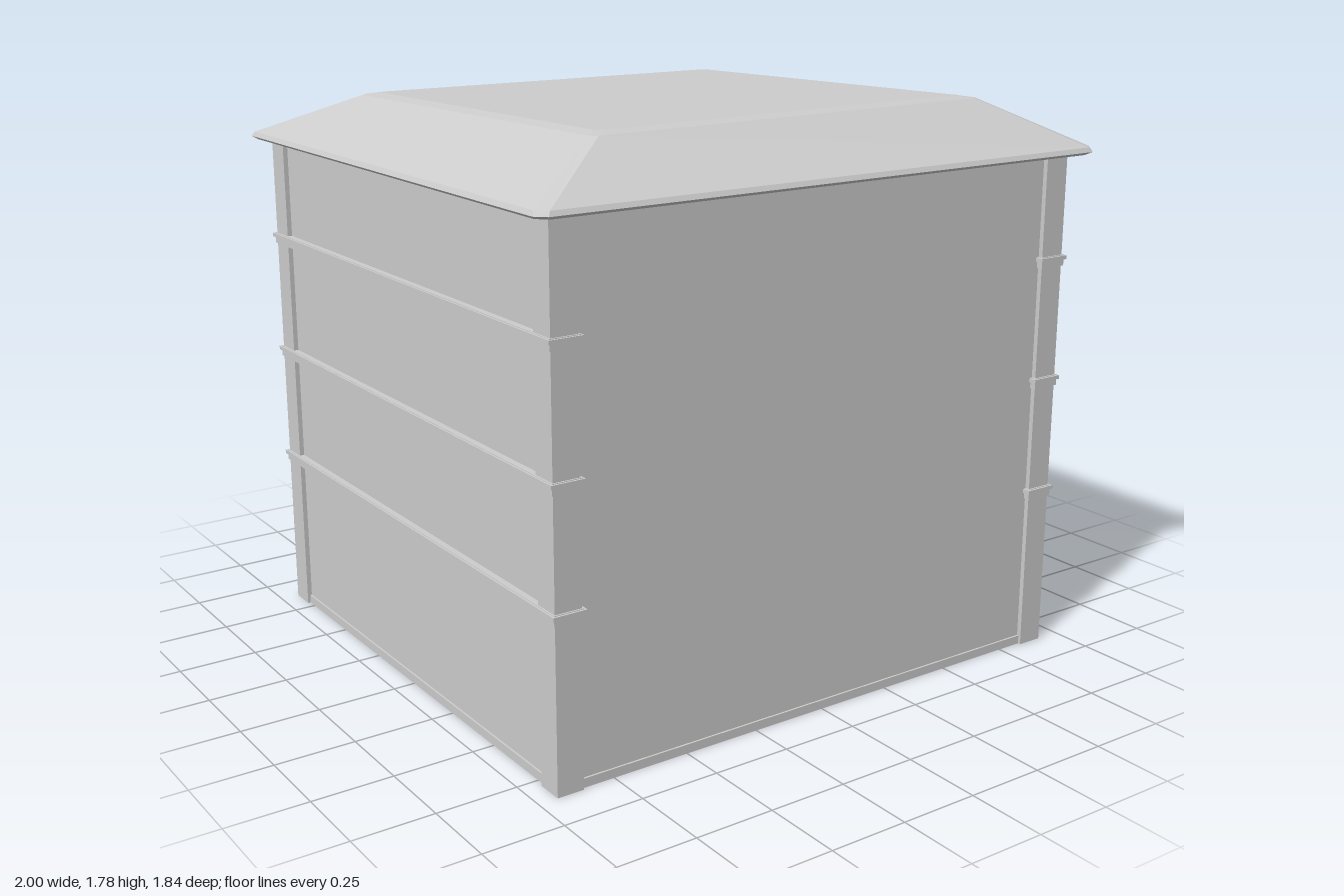
import * as THREE from 'three';

const stone = new THREE.MeshStandardMaterial({ color: 0xcccccc, side: THREE.DoubleSide });
stone.name = 'pale grey stone';

const HX = 0.93, HZ = 0.868;      // half size of the building
const WALL = 0.02;                // wall thickness
const EAVE = 1.61;                // wall height
const BANDS = [0.52, 0.888, 1.275];
const V = ([x, y]) => new THREE.Vector2(x, y);

function add(parent, name, geometry, x = 0, y = 0, z = 0) {
  const mesh = new THREE.Mesh(geometry, stone);
  mesh.name = name;
  mesh.position.set(x, y, z);
  parent.add(mesh);
  return mesh;
}

function box(parent, name, w, h, d, x, y, z) {
  return add(parent, name, new THREE.BoxGeometry(w, h, d), x, y, z);
}

// Flat plate from an outline, with its outer face at local z = front
function plate(parent, name, outline, holes, depth, front) {
  const shape = new THREE.Shape(outline.map(V));
  for (const h of holes) shape.holes.push(new THREE.Path(h.map(V)));
  const g = new THREE.ExtrudeGeometry(shape, { depth, bevelEnabled: false });
  return add(parent, name, g, 0, 0, front - depth);
}

// Recess: side strips along the outline plus a back panel
function niche(parent, name, outline, depth, closed) {
  const pos = [];
  const n = outline.length;
  for (let i = 0; i < (closed ? n : n - 1); i++) {
    const [ax, ay] = outline[i], [bx, by] = outline[(i + 1) % n];
    pos.push(ax, ay, 0, bx, by, 0, bx, by, -depth);
    pos.push(ax, ay, 0, bx, by, -depth, ax, ay, -depth);
  }
  const g = new THREE.BufferGeometry();
  g.setAttribute('position', new THREE.Float32BufferAttribute(pos, 3));
  g.computeVertexNormals();
  const group = new THREE.Group();
  group.name = name;
  add(group, name + 'Sides', g);
  add(group, name + 'Back', new THREE.ShapeGeometry(new THREE.Shape(outline.map(V))), 0, 0, -depth);
  parent.add(group);
}

const rect = (u, w, y0, y1) => [[u - w / 2, y0], [u - w / 2, y1], [u + w / 2, y1], [u + w / 2, y0]];

function side(parent, name, angle, x, z) {
  const g = new THREE.Group();
  g.name = name;
  g.rotation.y = angle;
  g.position.set(x, 0, z);
  parent.add(g);
  return g;
}

// Window wall: u runs towards the back
function windowWall(parent) {
  const g = side(parent, 'windowWall', Math.PI / 2, HX - 0.015, 0);
  const windows = [[0.625, 0.54, 0.795]];
  for (let i = -2; i <= 2; i++) {
    windows.push([i * 0.3125, 0.908, 1.162], [i * 0.3125, 1.297, 1.552]);
  }
  const holes = windows.map(([u, y0, y1]) => rect(u, 0.14, y0, y1 - 0.02));

  // Arched door
  const r = 0.068, du = 0.66, arch = [];
  arch.push([du - r, 0]);
  for (let i = 0; i <= 12; i++) {
    const a = Math.PI * (1 - i / 12);
    arch.push([du + r * Math.cos(a), 0.228 + r * Math.sin(a)]);
  }
  arch.push([du + r, 0]);
  const e = HZ - 0.03;
  plate(g, 'windowWallPanel', [[-e, 0], ...arch, [e, 0], [e, EAVE], [-e, EAVE]], holes, WALL, 0);
  niche(g, 'doorRecess', arch, 0.08, false);

  windows.forEach(([u, y0, y1], i) => {
    niche(g, 'windowRecess', holes[i], 0.1, true);
    const a = 0.095, b = 0.07, t = y1 - 0.02;
    plate(g, 'windowFrame', [[u - a, y0], [u - b, y0], [u - b, t], [u + b, t],
      [u + b, y0], [u + a, y0], [u + a, y1], [u - a, y1]], [], 0.03, 0.014);
  });

  // Plinth on both sides of the door
  box(g, 'plinth', du - r + e, 0.028, 0.032, (du - r - e) / 2, 0.014, -0.01);
  box(g, 'plinth', e - du - r, 0.028, 0.032, (e + du + r) / 2, 0.014, -0.01);
}

// Low back wall with two deep bays
function backWall(parent) {
  const g = side(parent, 'backWall', Math.PI, 0, -HZ + 0.015);
  const e = HX - 0.03, top = 0.5;
  const bays = [rect(-0.37, 0.42, 0, 0.39), rect(0.33, 0.4, 0, 0.39)];
  plate(g, 'backWallPanel', [[-e, 0], ...bays[0], ...bays[1], [e, 0], [e, top], [-e, top]], [], WALL, 0);
  bays.forEach(b => niche(g, 'bay', b, 0.185, false));
  for (const [a, b] of [[-e, -0.58], [-0.16, 0.13], [0.53, e]]) {
    box(g, 'plinth', b - a, 0.028, 0.032, (a + b) / 2, 0.014, -0.01);
  }
}

// Roof shell built from chamfered rectangular rings
function roof(parent) {
  const topY = (x, z) => 1.756 + Math.max(0, z) * (x > 0 ? 0.042 : 0.028);
  const rings = [
    [0.88, 0.85, 0.03, () => EAVE],
    [0.985, 0.905, 0.03, () => 1.604],
    [1.0, 0.922, 0.03, () => 1.614],
    [0.992, 0.914, 0.03, () => 1.628],
    [0.7, 0.7, 0.02, (x, z) => topY(x, z) - 0.009],
    [0.655, 0.655, 0.02, topY],
  ].map(([hx, hz, c, y]) => [
    [hx, hz - c], [hx - c, hz], [c - hx, hz], [-hx, hz - c],
    [-hx, c - hz], [c - hx, -hz], [hx - c, -hz], [hx, c - hz],
  ].map(([x, z]) => [x, y(x, z), z]));
  const pos = [];
  for (let i = 0; i + 1 < rings.length; i++) {
    for (let j = 0; j < 8; j++) {
      const k = (j + 1) % 8, [a, b] = [rings[i], rings[i + 1]];
      pos.push(...a[j], ...b[j], ...b[k], ...a[j], ...b[k], ...a[k]);
    }
  }
  const top = rings[rings.length - 1];
  for (let j = 0; j < 8; j++) pos.push(...top[j], 0, 1.766, 0, ...top[(j + 1) % 8]);
  const g = new THREE.BufferGeometry();
  g.setAttribute('position', new THREE.Float32BufferAttribute(pos, 3));
  g.computeVertexNormals();
  add(parent, 'roof', g);
}

export function createModel() {
  const model = new THREE.Group();
  model.name = 'building';
  const body = new THREE.Group();
  body.name = 'body';
  body.position.x = -0.01;
  model.add(body);

  windowWall(body);
  backWall(body);

  // Plain front and left walls
  for (const [name, angle, x, z, e] of [
    ['frontWall', 0, 0, HZ - 0.015, HX - 0.03],
    ['leftWall', -Math.PI / 2, -HX + 0.015, 0, HZ - 0.03],
  ]) {
    const g = side(body, name, angle, x, z);
    plate(g, name + 'Panel', [[-e, 0], [e, 0], [e, EAVE], [-e, EAVE]], [], WALL, 0);
    box(g, 'plinth', 2 * e, 0.028, 0.032, 0, 0.014, -0.01);
  }

  // Corner pilasters with moulded collars
  const W = 0.085;
  for (const sx of [-1, 1]) {
    for (const sz of [-1, 1]) {
      const x = sx * (HX - W / 2), z = sz * (HZ - W / 2);
      box(body, 'cornerPilaster', W, EAVE, W, x, EAVE / 2, z);
      for (const y of BANDS) {
        box(body, 'pilasterCollar', W + 0.01, 0.034, W + 0.01, x, y, z);
        box(body, 'collarLip', W + 0.022, 0.012, W + 0.022, x, y + 0.009, z);
      }
    }
    // Storey bands along both flanks
    for (const y of BANDS) {
      const x = sx * (HX - 0.02), d = 2 * (HZ - W);
      box(body, 'storeyBand', 0.05, 0.034, d, x, y, 0);
      box(body, 'storeyBandLip', 0.062, 0.012, d, x, y + 0.009, 0);
    }
  }

  roof(model);
  return model;
}
